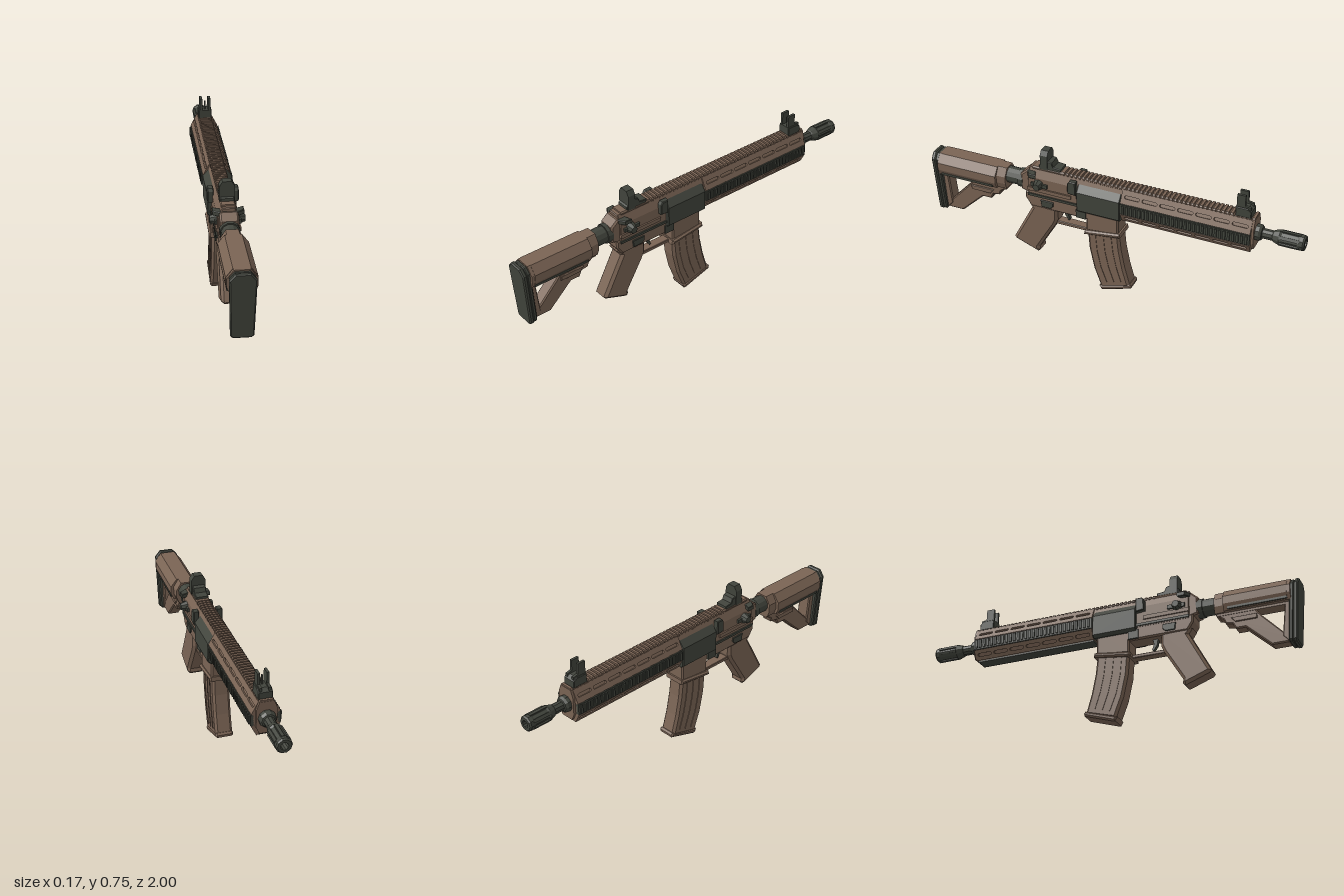
import * as THREE from 'three';

const brown = new THREE.MeshStandardMaterial({ color: 0x7a6454 });
brown.name = 'earth brown';
const dark = new THREE.MeshStandardMaterial({ color: 0x41443c });
dark.name = 'gunmetal green';

const shapeOf = (pts) => new THREE.Shape(pts.map(([a, b]) => new THREE.Vector2(a, b)));
const extrude = (shape, depth, bevel) => {
  const g = new THREE.ExtrudeGeometry(shape, {
    depth: depth - 2 * bevel, steps: 1, curveSegments: 3, bevelEnabled: bevel > 0,
    bevelThickness: bevel, bevelSize: bevel, bevelOffset: -bevel, bevelSegments: 1,
  });
  return g.translate(0, 0, -(depth - 2 * bevel) / 2);
};

export function createModel() {
  const root = new THREE.Group();
  root.name = 'rifle';
  const add = (name, geo, mat) => {
    const m = new THREE.Mesh(geo, mat);
    m.name = name;
    root.add(m);
    return m;
  };
  // Outline given as [z, y], thickened across x
  const side = (name, mat, pts, width, bevel = 0, x = 0) =>
    add(name, extrude(shapeOf(pts), width, bevel).rotateY(-Math.PI / 2).translate(x, 0, 0), mat);
  // Half cross-section given as [x, y], mirrored and run along z
  const prism = (name, mat, half, z0, z1, bevel = 0) => {
    const pts = [...half, ...half.map(([x, y]) => [-x, y]).reverse()];
    return add(name, extrude(shapeOf(pts), z1 - z0, bevel).translate(0, 0, (z0 + z1) / 2), mat);
  };
  const box = (name, mat, x0, x1, y0, y1, z0, z1) =>
    add(name, new THREE.BoxGeometry(x1 - x0, y1 - y0, z1 - z0)
      .translate((x0 + x1) / 2, (y0 + y1) / 2, (z0 + z1) / 2), mat);
  // Profile given as [radius, -z], turned about the bore
  const turned = (name, mat, pts, sides, y = 0.555) => {
    const g = new THREE.LatheGeometry(pts.map(([r, d]) => new THREE.Vector2(r, d)), sides, Math.PI / sides)
      .toNonIndexed();
    g.computeVertexNormals();
    return add(name, g.rotateX(-Math.PI / 2).translate(0, y, 0), mat);
  };

  // Butt pad and stock
  const pad = (name, inset, z0, z1) => {
    const w = 0.062 - inset;
    const g = extrude(shapeOf([[-0.035, 0.592 - inset], [-w, 0.56], [-w + 0.008, 0.27 + inset], [-0.042, 0.258 + inset],
      [0.042, 0.258 + inset], [w - 0.008, 0.27 + inset], [w, 0.56], [0.035, 0.592 - inset]]), z1 - z0, 0.006);
    g.translate(0, 0, (z0 + z1) / 2);
    const p = g.attributes.position;
    for (let i = 0; i < p.count; i++) p.setZ(i, p.getZ(i) - (0.59 - p.getY(i)) * 0.075);
    g.computeVertexNormals();
    add(name, g, dark);
  };
  pad('buttPad', 0, 0.976, 1.0);
  pad('buttPadSeam', 0.004, 0.955, 0.978);
  const stockTube = prism('stockBody', brown,
    [[0.038, 0.592], [0.07, 0.55], [0.07, 0.51], [0.055, 0.477]], 0.57, 0.957);
  const sp = stockTube.geometry.attributes.position;
  for (let i = 0; i < sp.count; i++) if (sp.getZ(i) < 0.6) sp.setX(i, sp.getX(i) * 0.78);
  stockTube.geometry.computeVertexNormals();
  prism('stockShoulder', brown, [[0.04, 0.592], [0.072, 0.55], [0.072, 0.51], [0.057, 0.477]], 0.62, 0.94);
  side('stockUnderRail', brown, [[0.95, 0.482], [0.575, 0.482], [0.575, 0.465], [0.95, 0.465]], 0.07);
  side('stockRear', brown, [[0.957, 0.48], [0.92, 0.48], [0.9, 0.3], [0.935, 0.265]], 0.07, 0.006);
  side('stockStrut', brown, [[0.93, 0.268], [0.845, 0.268], [0.72, 0.385], [0.67, 0.385], [0.655, 0.415],
    [0.62, 0.42], [0.61, 0.445], [0.58, 0.47], [0.77, 0.475], [0.8, 0.435], [0.9, 0.33], [0.93, 0.3]], 0.064, 0.006);
  for (const s of [-1, 1]) {
    box('stockGroove', dark, s * 0.061 - 0.006, s * 0.061 + 0.006, 0.482, 0.494, 0.64, 0.94);
    side('strutRib', brown, [[0.78, 0.42], [0.67, 0.42], [0.65, 0.445], [0.78, 0.445]], 0.012, 0.002, s * 0.034);
  }

  // Tube joining stock and receiver
  turned('stockTube', dark, [[0.044, -0.58], [0.044, -0.47]], 12, 0.542);
  turned('stockTubeNut', dark, [[0.0, -0.505], [0.05, -0.505], [0.05, -0.475], [0, -0.475]], 12, 0.542);

  // Receivers and magazine well
  prism('upperReceiver', brown, [[0.03, 0.638], [0.052, 0.59], [0.052, 0.48]], -0.08, 0.44, 0.004);
  side('rearReceiver', brown, [[0.485, 0.5], [0.485, 0.59], [0.45, 0.62], [0.4, 0.62], [0.4, 0.48]], 0.09, 0.008);
  side('lowerReceiver', brown, [[0.46, 0.5], [0.46, 0.46], [0.43, 0.415], [0.12, 0.415], [0.12, 0.35],
    [-0.056, 0.365], [-0.056, 0.5]], 0.1, 0.008);
  side('magazineCollar', brown, [[0.13, 0.328], [0.125, 0.352], [-0.066, 0.378], [-0.068, 0.354]], 0.122, 0.008);
  prism('receiverCover', dark, [[0.036, 0.618], [0.072, 0.575], [0.072, 0.472], [0.056, 0.458]], -0.072, 0.163, 0.004);
  for (const s of [-1, 1]) {
    const plate = (name, x, y0, y1, z0, z1) => box(name, dark, s * x - 0.008, s * x + 0.008, y0, y1, z0, z1);
    side('sideLatch', dark, [[0.21, 0.56], [0.21, 0.615], [0.2, 0.63], [0.165, 0.63], [0.165, 0.555]], 0.03, 0.004, s * 0.061);
    plate('receiverRidge', 0.051, 0.484, 0.497, 0.163, 0.44);
    plate('magazineButton', 0.05, 0.42, 0.466, 0.118, 0.172);
    side('boltCatch', dark, [[0.37, 0.468], [0.3, 0.468], [0.3, 0.445], [0.315, 0.43], [0.365, 0.43]], 0.014, 0.002, s * 0.05);
    // Selector knob with its lever
    add('selectorKnob', new THREE.CylinderGeometry(0.018, 0.03, 0.036, 8).toNonIndexed()
      .rotateZ(-s * Math.PI / 2).translate(s * 0.067, 0.555, 0.38), dark).geometry.computeVertexNormals();
    plate('selectorLever', 0.055, 0.545, 0.565, 0.33, 0.42);
    box('receiverStep', brown, s * 0.05 - 0.01, s * 0.05 + 0.01, 0.515, 0.535, 0.2, 0.44);
  }
  // Charging handle
  add('chargingHandle', extrude(shapeOf([[-0.075, 0.385], [-0.075, 0.425], [-0.045, 0.445], [0.045, 0.445],
    [0.075, 0.425], [0.075, 0.385], [0.04, 0.4], [-0.04, 0.4]]), 0.024, 0.003)
    .rotateX(Math.PI / 2).translate(0, 0.608, 0), dark);

  // Grip, trigger and guard
  side('pistolGrip', brown, [[0.45, 0.43], [0.43, 0.40], [0.54, 0.19], [0.53, 0.178], [0.405, 0.132], [0.392, 0.145],
    [0.395, 0.165], [0.3, 0.325], [0.285, 0.36], [0.285, 0.43]], 0.09, 0.014);
  side('triggerGuard', brown, [[0.32, 0.328], [0.3, 0.346], [0.12, 0.346], [0.12, 0.328]], 0.05, 0.003);
  side('trigger', dark, [[0.26, 0.42], [0.255, 0.385], [0.235, 0.355], [0.228, 0.362], [0.238, 0.39], [0.232, 0.42]], 0.022);

  // Curved magazine with raised ribs following the curve
  const mag = new THREE.Shape();
  mag.moveTo(0.118, 0.36);
  mag.quadraticCurveTo(0.115, 0.17, 0.042, 0.014);
  mag.lineTo(-0.118, 0.06);
  mag.quadraticCurveTo(-0.065, 0.22, -0.056, 0.37);
  add('magazine', extrude(mag, 0.09, 0.012).rotateY(-Math.PI / 2), brown);
  side('magazineFloor', brown, [[0.052, 0.022], [0.04, 0.002], [0.03, 0.002], [-0.124, 0.052], [-0.126, 0.066], [-0.118, 0.076]],
    0.094, 0.008);
  for (const t of [0.25, 0.5, 0.75]) {
    const mix = (a, b) => a + (b - a) * t;
    const rib = new THREE.Shape();
    const [z0, z1, z2] = [mix(0.118, -0.056), mix(0.115, -0.065), mix(0.05, -0.108)];
    const [y1, y2] = [mix(0.17, 0.22), mix(0.045, 0.09)];
    rib.moveTo(z0 + 0.005, 0.34);
    rib.quadraticCurveTo(z1 + 0.005, y1, z2 + 0.005, y2);
    rib.lineTo(z2 - 0.005, y2);
    rib.quadraticCurveTo(z1 - 0.005, y1, z0 - 0.005, 0.34);
    add('magazineRib', extrude(rib, 0.096, 0).rotateY(-Math.PI / 2), brown);
  }

  // Handguard core, with slotted panels on the four slopes
  prism('handguardCore', brown, [[0.028, 0.632], [0.06, 0.57], [0.06, 0.515], [0.034, 0.464]], -0.745, -0.07);
  const panel = (name, a, b) => {
    const len = Math.hypot(b[0] - a[0], b[1] - a[1]);
    const s = shapeOf([[-0.335, -len / 2], [0.335, -len / 2], [0.335, len / 2], [-0.335, len / 2]]);
    for (let i = 0; i < 7; i++) {
      const c = (i - 3) * 0.093, r = 0.008, w = 0.032;
      const h = new THREE.Path();
      h.moveTo(c - w, -r);
      h.absarc(c + w, 0, r, -Math.PI / 2, Math.PI / 2, false);
      h.absarc(c - w, 0, r, Math.PI / 2, Math.PI * 1.5, false);
      s.holes.push(h);
    }
    // Local x runs along z, local y runs along the slope
    const vy = new THREE.Vector3(b[0] - a[0], b[1] - a[1], 0).normalize();
    const vx = new THREE.Vector3(0, 0, 1);
    const m = new THREE.Matrix4().makeBasis(vx, vy, new THREE.Vector3().crossVectors(vx, vy));
    m.setPosition((a[0] + b[0]) / 2, (a[1] + b[1]) / 2, -0.41);
    add(name, extrude(s, 0.014, 0).applyMatrix4(m), brown);
  };
  for (const s of [-1, 1]) {
    panel('upperSlotPanel', [s * 0.031, 0.634], [s * 0.064, 0.571]);
    panel('lowerSlotPanel', [s * 0.064, 0.514], [s * 0.038, 0.464]);
    // Side rails
    box('sideRail', dark, s * 0.064 - 0.008, s * 0.064 + 0.008, 0.514, 0.57, -0.745, -0.075);
    for (let i = 0; i < 30; i++) {
      const z = -0.735 + i * 0.022;
      box('sideRailTooth', dark, s * 0.073 - 0.006, s * 0.073 + 0.006, 0.52, 0.565, z, z + 0.012);
    }
  }
  box('bottomRail', dark, -0.034, 0.034, 0.456, 0.468, -0.735, -0.08);
  prism('handguardCap', brown, [[0.035, 0.64], [0.05, 0.6], [0.05, 0.51], [0.034, 0.475]], -0.757, -0.74);

  // Top rail with teeth
  box('topRail', brown, -0.03, 0.03, 0.61, 0.638, -0.755, 0.43);
  for (let i = 0; i < 46; i++) {
    const z = -0.755 + i * 0.0222;
    prism('topRailTooth', brown, [[0.03, 0.648], [0.036, 0.64], [0.036, 0.632], [0.03, 0.626]], z, z + 0.013);
  }
  prism('rearTopRail', brown, [[0.03, 0.646], [0.036, 0.64], [0.03, 0.622]], 0.25, 0.42);

  // Rear sight
  prism('rearSightLeaf', dark, [[0.022, 0.743], [0.037, 0.718], [0.037, 0.64]], 0.336, 0.376);
  side('rearSightFoot', dark, [[0.385, 0.64], [0.385, 0.66], [0.335, 0.69], [0.315, 0.685], [0.305, 0.662],
    [0.265, 0.658], [0.265, 0.64]], 0.066, 0.003);

  // Front sight
  side('frontSightBase', dark, [[-0.655, 0.64], [-0.655, 0.69], [-0.715, 0.69], [-0.735, 0.675], [-0.735, 0.64]], 0.07, 0.003);
  for (const s of [-1, 1]) side('frontSightWing', dark, [[-0.658, 0.68], [-0.658, 0.755], [-0.7, 0.755],
    [-0.702, 0.7], [-0.73, 0.695], [-0.73, 0.66]], 0.013, 0, s * 0.022);
  box('frontSightPost', dark, -0.004, 0.004, 0.68, 0.735, -0.685, -0.675);

  // Barrel and muzzle
  turned('barrel', dark, [[0.042, 0.74], [0.042, 0.775], [0.034, 0.787], [0.026, 0.79], [0.026, 0.84], [0.03, 0.845],
    [0.04, 0.875], [0.036, 0.885], [0.036, 0.965], [0.04, 0.975], [0.04, 0.992], [0.034, 1], [0.019, 1], [0.019, 0.93], [0, 0.93]], 10);
  for (let i = 0; i < 6; i++) {
    const rib = new THREE.BoxGeometry(0.016, 0.008, 0.1).translate(0, 0.036, 0).rotateZ(i * Math.PI / 3);
    add('muzzleRib', rib.translate(0, 0.555, -0.925), dark);
  }
  return root;
}
